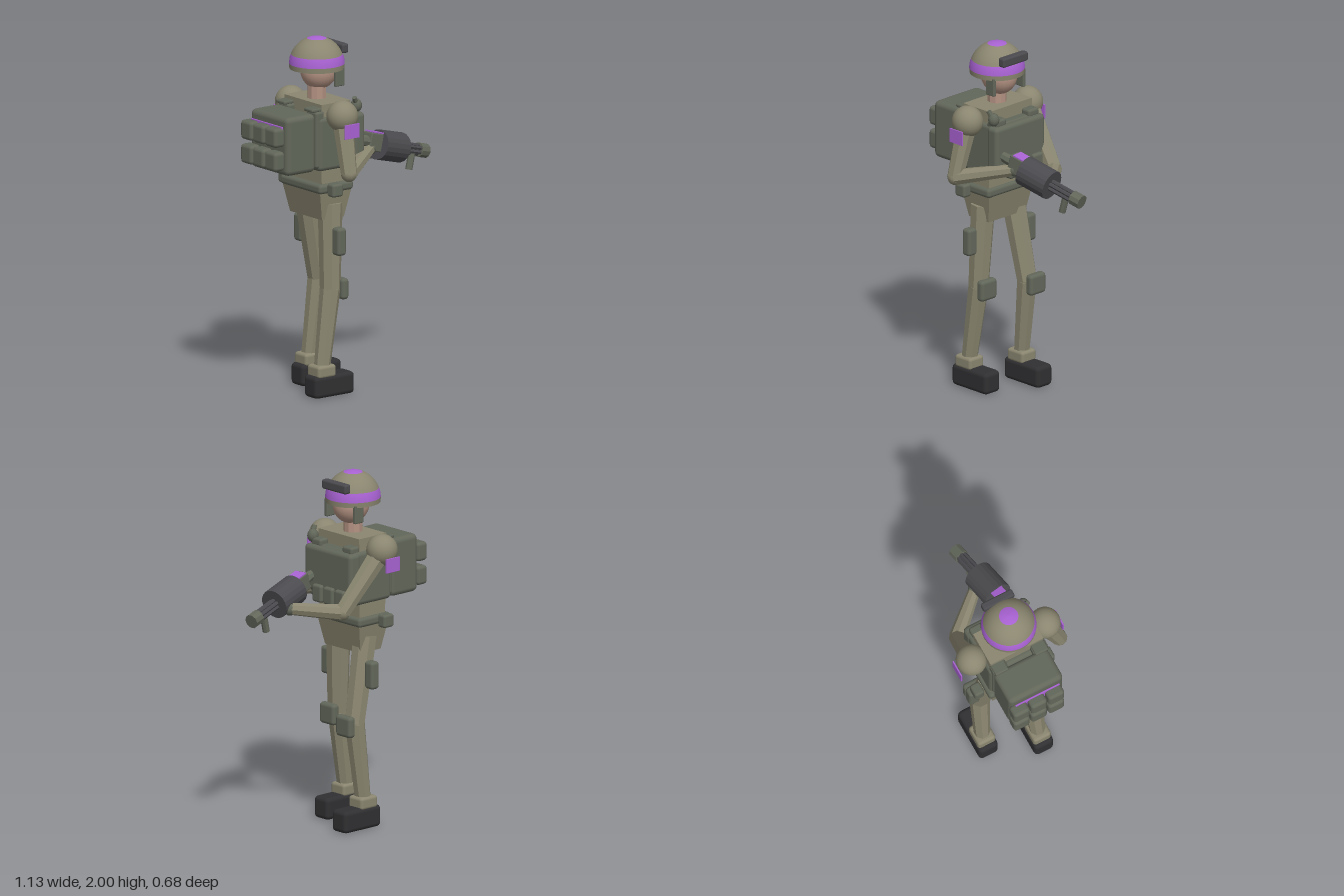
import * as THREE from 'three';
import { RoundedBoxGeometry } from 'three/addons/geometries/RoundedBoxGeometry.js';

const mat = (name, color, extra = {}) => {
  const m = new THREE.MeshStandardMaterial({ color, ...extra });
  m.name = name;
  return m;
};

export function createModel() {
  const khaki = mat('khaki cloth', 0x8a8670);
  const green = mat('green gear', 0x62675a);
  const dark = mat('gunmetal', 0x4b4a4e);
  const black = mat('boot black', 0x303032);
  const purple = mat('purple marking', 0xa862d2, { side: THREE.DoubleSide });
  const skin = mat('skin', 0xb39282);

  const model = new THREE.Group();
  model.name = 'soldier';
  const CZ = -0.018; // body centre line

  const add = (name, geo, material, parent = model) => {
    const mesh = new THREE.Mesh(geo, material);
    mesh.name = name;
    parent.add(mesh);
    return mesh;
  };
  // rounded box given by its ranges along x, y and z
  const block = (name, x, y, z, material, r = 0.015, parent = model) => {
    const s = [x, y, z].map(([a, b]) => b - a);
    const radius = Math.min(r, ...s.map(v => v * 0.45));
    const mesh = add(name, new RoundedBoxGeometry(...s, 2, radius), material, parent);
    mesh.position.set((x[0] + x[1]) / 2, (y[0] + y[1]) / 2, (z[0] + z[1]) / 2);
    return mesh;
  };
  // box whose bottom and top are scaled
  const taperBox = (name, x, y, z, bottom, top, material) => {
    const geo = new THREE.BoxGeometry(x[1] - x[0], y[1] - y[0], z[1] - z[0]);
    const p = geo.attributes.position;
    for (let i = 0; i < p.count; i++) {
      const [sx, sz] = p.getY(i) > 0 ? top : bottom;
      p.setX(i, p.getX(i) * sx);
      p.setZ(i, p.getZ(i) * sz);
    }
    geo.computeVertexNormals();
    const mesh = add(name, geo, material);
    mesh.position.set((x[0] + x[1]) / 2, (y[0] + y[1]) / 2, (z[0] + z[1]) / 2);
  };
  // faceted tapered tube between two points
  const limb = (name, a, b, ra, rb, material, sides = 8, parent = model) => {
    const A = new THREE.Vector3(...a), B = new THREE.Vector3(...b);
    const dir = B.clone().sub(A);
    const geo = new THREE.CylinderGeometry(rb, ra, dir.length(), sides).toNonIndexed();
    geo.computeVertexNormals();
    const mesh = add(name, geo, material, parent);
    mesh.position.copy(A).add(B).multiplyScalar(0.5);
    mesh.quaternion.setFromUnitVectors(new THREE.Vector3(0, 1, 0), dir.normalize());
    return mesh;
  };
  const ball = (name, c, r, material, w = 16, h = 12) => {
    const mesh = add(name, new THREE.SphereGeometry(1, w, h), material);
    mesh.position.set(...c);
    mesh.scale.set(...r);
    return mesh;
  };

  // head and neck
  ball('head', [-0.145, 1.81, CZ], [0.108, 0.108, 0.095], skin, 24, 16);
  limb('neck', [-0.16, 1.58, CZ], [-0.16, 1.76, CZ], 0.053, 0.053, skin, 10);

  // helmet: rim, painted band, dome and painted crown
  const dome = [];
  for (let i = 0; i <= 8; i++) {
    const a = 0.39 + i * (1.215 - 0.39) / 8;
    dome.push([0.154 * Math.cos(a), 1.84 + 0.16 * Math.sin(a)]);
  }
  const [low, high] = [dome[0], dome[8]];
  const lathe = (name, pts, material) => {
    const mesh = add(name, new THREE.LatheGeometry(pts.map(p => new THREE.Vector2(...p)), 32), material);
    mesh.position.set(-0.16, 0, CZ);
  };
  lathe('helmetUnderside', [[0, 1.822], [0.152, 1.822]], khaki);
  lathe('helmetRim', [[0.152, 1.822], [0.154, 1.85]], khaki);
  lathe('helmetBand', [[0.154, 1.85], [0.151, 1.878], low], purple);
  lathe('helmetDome', dome, khaki);
  lathe('helmetCrown', [high, [0.03, 1.998], [0, 2.0]], purple);
  block('goggles', [-0.055, -0.01], [1.902, 1.956], [-0.115, 0.078], dark, 0.012);
  for (const s of [1, -1]) {
    const z = CZ + s * 0.114;
    block('earFlap', [-0.125, -0.06], [1.73, 1.835], [z - 0.011, z + 0.011], green, 0.006);
  }

  // torso, vest, belt and pelvis
  taperBox('torso', [-0.275, -0.035], [1.18, 1.655], [-0.208, 0.172], [0.8, 0.85], [0.85, 0.87], khaki);
  block('vest', [-0.285, 0.005], [1.28, 1.585], [-0.2, 0.165], green, 0.025);
  block('chestPlate', [-0.05, 0.033], [1.32, 1.58], [-0.205, 0.175], green, 0.025);
  block('belt', [-0.28, -0.04], [1.15, 1.205], [-0.2, 0.165], green, 0.02);
  taperBox('pelvis', [-0.268, -0.05], [0.995, 1.155], [-0.186, 0.15], [0.7, 0.85], [1, 1], khaki);
  for (const z of [-0.13, -0.04, 0.05]) {
    block('chestPouch', [0.0, 0.055], [1.27, 1.37], [z - 0.038, z + 0.038], green);
  }
  for (const s of [1, -1]) {
    const z = CZ + s * 0.22, t = CZ + s * 0.125;
    block('beltPouch', [-0.24, -0.165], [1.14, 1.215], [z - 0.03, z + 0.03], green);
    block('shoulderStrap', [-0.32, -0.23], [1.617, 1.637], [t - 0.04, t + 0.04], green, 0.008);
    block('strapSide', [-0.3, -0.24], [1.3, 1.62], [t - 0.045, t + 0.05], green);
    block('strapFront', [-0.06, 0.005], [1.57, 1.615], [t - 0.04, t + 0.04], green);
  }

  // shoulder radio
  ball('radioBody', [-0.015, 1.62, 0.15], [0.032, 0.038, 0.032], green, 10, 8);
  limb('radioKnob', [-0.02, 1.63, 0.155], [-0.04, 1.67, 0.165], 0.014, 0.014, green);
  limb('radioClip', [-0.06, 1.56, 0.14], [-0.02, 1.62, 0.15], 0.018, 0.018, green);

  // backpack with six pouches
  block('backpack', [-0.495, -0.29], [1.28, 1.61], [-0.19, 0.148], green, 0.03);
  block('packStripe', [-0.508, -0.499], [1.465, 1.56], [-0.16, 0.115], purple, 0.002);
  for (const y of [1.365, 1.5]) {
    for (const z of [-0.145, -0.037, 0.071]) {
      block('packPouch', [-0.56, -0.485], [y - 0.054, y + 0.054], [z - 0.05, z + 0.05], green, 0.02);
    }
  }

  // legs and boots: +z leg stands behind, -z leg steps forward
  const legs = [
    { s: 1, hip: [-0.155, 1.08, 0.095], knee: [-0.17, 0.6, 0.115], ankle: [-0.235, 0.15, 0.123], boot: -0.32, pad: -0.13, pocket: -0.165 },
    { s: -1, hip: [-0.15, 1.08, -0.125], knee: [-0.055, 0.6, -0.145], ankle: [-0.108, 0.15, -0.156], boot: -0.195, pad: -0.01, pocket: -0.115 },
  ];
  for (const { s, hip, knee, ankle, boot, pad, pocket } of legs) {
    const zk = knee[2], za = ankle[2];
    limb('thigh', hip, knee, 0.07, 0.058, khaki);
    ball('knee', knee, [0.055, 0.055, 0.055], khaki, 10, 8);
    limb('calf', knee, ankle, 0.058, 0.045, khaki);
    block('kneePad', [pad, pad + 0.05], [0.535, 0.655], [zk - 0.06, zk + 0.06], green, 0.02);
    const zp = s > 0 ? [0.155, 0.222] : [-0.252, -0.185];
    block('thighPocket', [pocket - 0.03, pocket + 0.03], [0.8, 0.957], zp, green, 0.018);
    block('bootCuff', [ankle[0] - 0.063, ankle[0] + 0.063], [0.11, 0.182], [za - 0.055, za + 0.055], khaki, 0.018);
    block('boot', [boot, boot + 0.275], [0, 0.125], [za - 0.059, za + 0.059], black, 0.025);
  }

  // arms
  const arms = [
    { s: 1, z: 0.21, elbow: [-0.175, 1.28, 0.29], hand: [0.11, 1.35, 0.11] },
    { s: -1, z: -0.252, elbow: [0.095, 1.27, -0.205], hand: [0.29, 1.285, 0.01] },
  ];
  for (const { s, z, elbow, hand } of arms) {
    const shoulder = [-0.16, 1.59, z];
    ball('shoulder', shoulder, [0.089, 0.088, 0.086], khaki, 20, 14);
    limb('upperArm', shoulder, elbow, 0.06, 0.046, khaki);
    ball('elbow', elbow, [0.045, 0.045, 0.045], khaki, 10, 8);
    limb('forearm', elbow, hand, 0.046, 0.034, khaki);
    ball('glove', hand, [0.038, 0.038, 0.038], green, 10, 8);
    const zp = z + s * 0.087;
    block('armPatch', [-0.21, -0.11], [1.48, 1.56], [zp - 0.004, zp + 0.004], purple, 0.001);
  }

  // weapon, built along its own x axis
  const gun = new THREE.Group();
  gun.name = 'weapon';
  gun.position.set(0.264, 1.335, 0.08);
  gun.rotation.set(0, 0.16, -0.26, 'YZX');
  model.add(gun);
  limb('drum', [-0.095, 0, 0], [0.095, 0, 0], 0.084, 0.084, dark, 20, gun);
  block('receiver', [-0.19, -0.08], [-0.04, 0.063], [-0.036, 0.036], green, 0.008, gun);
  block('receiverPlate', [-0.17, -0.07], [0.063, 0.071], [-0.036, 0.036], purple, 0.001, gun);
  limb('stock', [-0.28, 0.01, 0], [-0.18, 0.01, 0], 0.026, 0.034, green, 8, gun);
  limb('barrelCore', [0.09, 0, 0], [0.29, 0, 0], 0.022, 0.022, dark, 8, gun);
  for (let i = 0; i < 6; i++) {
    const a = i * Math.PI / 3, y = 0.024 * Math.cos(a), z = 0.024 * Math.sin(a);
    limb('barrel', [0.09, y, z], [0.29, y, z], 0.012, 0.012, dark, 6, gun);
  }
  limb('muzzle', [0.245, 0, 0], [0.308, 0, 0], 0.041, 0.041, green, 10, gun);
  limb('foregrip', [0.2, -0.02, 0], [0.2, -0.115, 0], 0.02, 0.02, green, 8, gun);

  return model;
}
